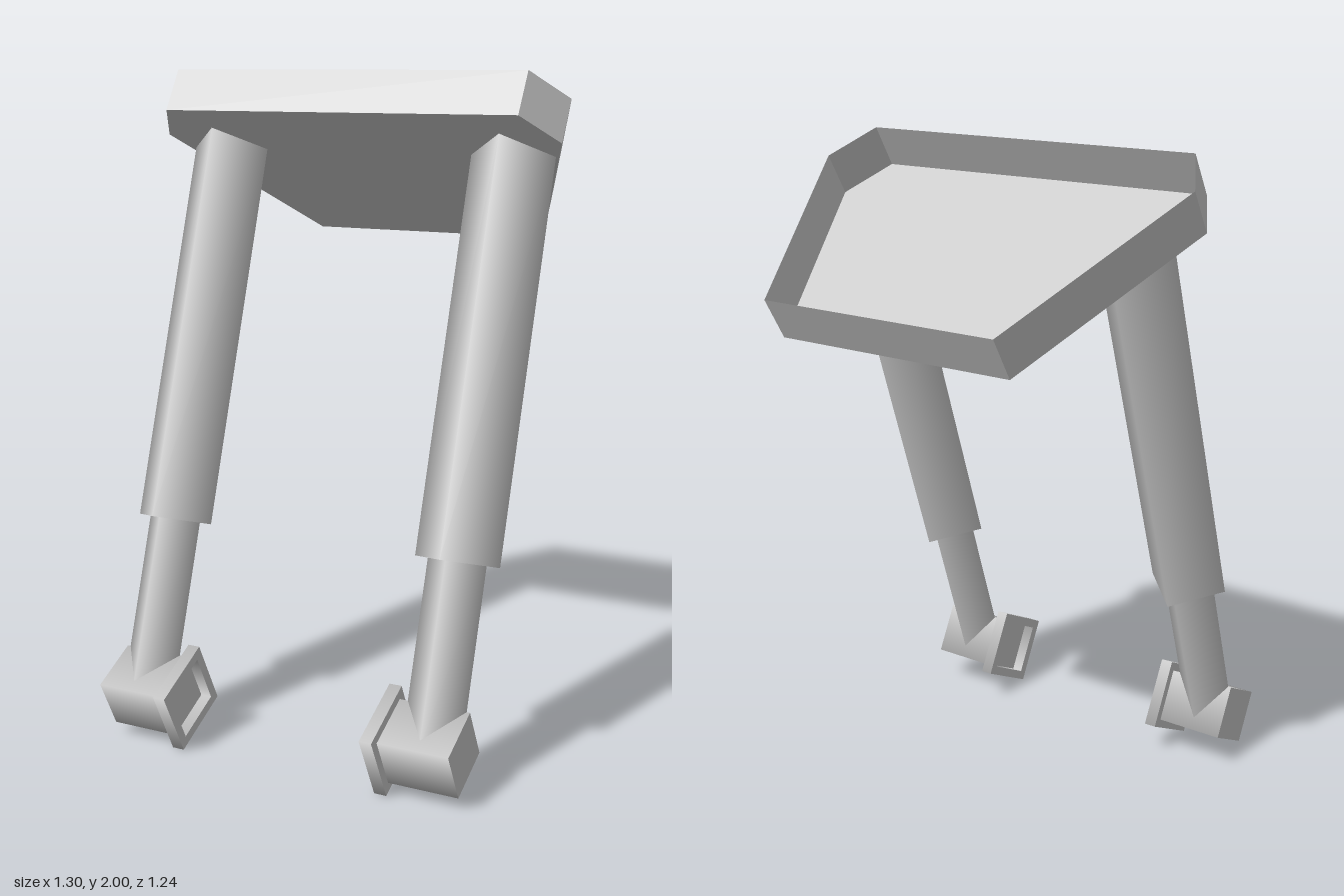
import * as THREE from 'three';

const grey = new THREE.MeshStandardMaterial({ color: 0xcccccc, side: THREE.DoubleSide });
grey.name = 'plain grey';

const LEAN = 0.321;   // forward lean of the legs
const SLOPE = 0.534;  // backward tilt of the tray

function add(parent, name, geometry) {
  const mesh = new THREE.Mesh(geometry, grey);
  mesh.name = name;
  parent.add(mesh);
  return mesh;
}

// four-sided bar along y with corners on the x and z axes
function bar(radius, y0, y1) {
  return new THREE.CylinderGeometry(radius, radius, y1 - y0, 4).translate(0, (y0 + y1) / 2, 0);
}

// shallow open tray with a six-cornered floor
function makeTray() {
  const tray = new THREE.Group();
  tray.name = 'tray';
  const outline = [[-0.57, 0], [0.57, 0], [0.65, 0.157], [0.4, 0.8], [-0.4, 0.8], [-0.65, 0.157]]
    .map(([x, y]) => new THREE.Vector2(x, y));
  add(tray, 'trayFloor', new THREE.ShapeGeometry(new THREE.Shape(outline)));

  const h = 0.14;
  const pos = [];
  outline.forEach((p, i) => {
    const q = outline[(i + 1) % outline.length];
    pos.push(p.x, p.y, 0, q.x, q.y, 0, q.x, q.y, h);
    pos.push(p.x, p.y, 0, q.x, q.y, h, p.x, p.y, h);
  });
  const walls = new THREE.BufferGeometry();
  walls.setAttribute('position', new THREE.Float32BufferAttribute(pos, 3));
  walls.computeVertexNormals();
  add(tray, 'trayWalls', walls);

  tray.position.set(0, 1.88, 0.14);
  tray.rotation.x = -(Math.PI / 2 + SLOPE);
  return tray;
}

// leg whose hub and flange point inward; side is +1 for left, -1 for right
function makeLeg(name, x, side) {
  const leg = new THREE.Group();
  leg.name = name;

  // upper sleeve, its top cut to lie in the tray floor
  const sleeve = bar(0.13, 0.525, 1.698);
  const p = sleeve.attributes.position;
  for (let i = 0; i < p.count; i++) {
    if (p.getY(i) > 1) p.setY(i, 1.698 + p.getZ(i) * Math.tan(SLOPE - LEAN));
  }
  add(leg, 'upperLeg', sleeve);
  add(leg, 'lowerLeg', bar(0.09, 0, 0.53));

  // foot: square hub with a recessed flange on the inner end
  const foot = new THREE.Group();
  foot.name = 'foot';
  add(foot, 'hub', bar(0.118, -0.1, 0.118));
  const profile = [[0.11, 0.115], [0.155, 0.115], [0.155, 0.153], [0.115, 0.153], [0.115, 0.118]];
  for (let i = 0; i + 1 < profile.length; i++) {
    const pts = [profile[i], profile[i + 1]].map(([r, y]) => new THREE.Vector2(r, y));
    add(foot, 'flange', new THREE.LatheGeometry(pts, 4));
  }
  foot.rotation.z = side * Math.PI / 2;
  leg.add(foot);

  leg.position.set(x, 0.147, 0.472);
  leg.rotation.x = -LEAN;
  return leg;
}

export function createModel() {
  const model = new THREE.Group();
  model.name = 'tray on two legs';
  model.add(makeTray(), makeLeg('leftLeg', 0.479, 1), makeLeg('rightLeg', -0.465, -1));
  return model;
}
